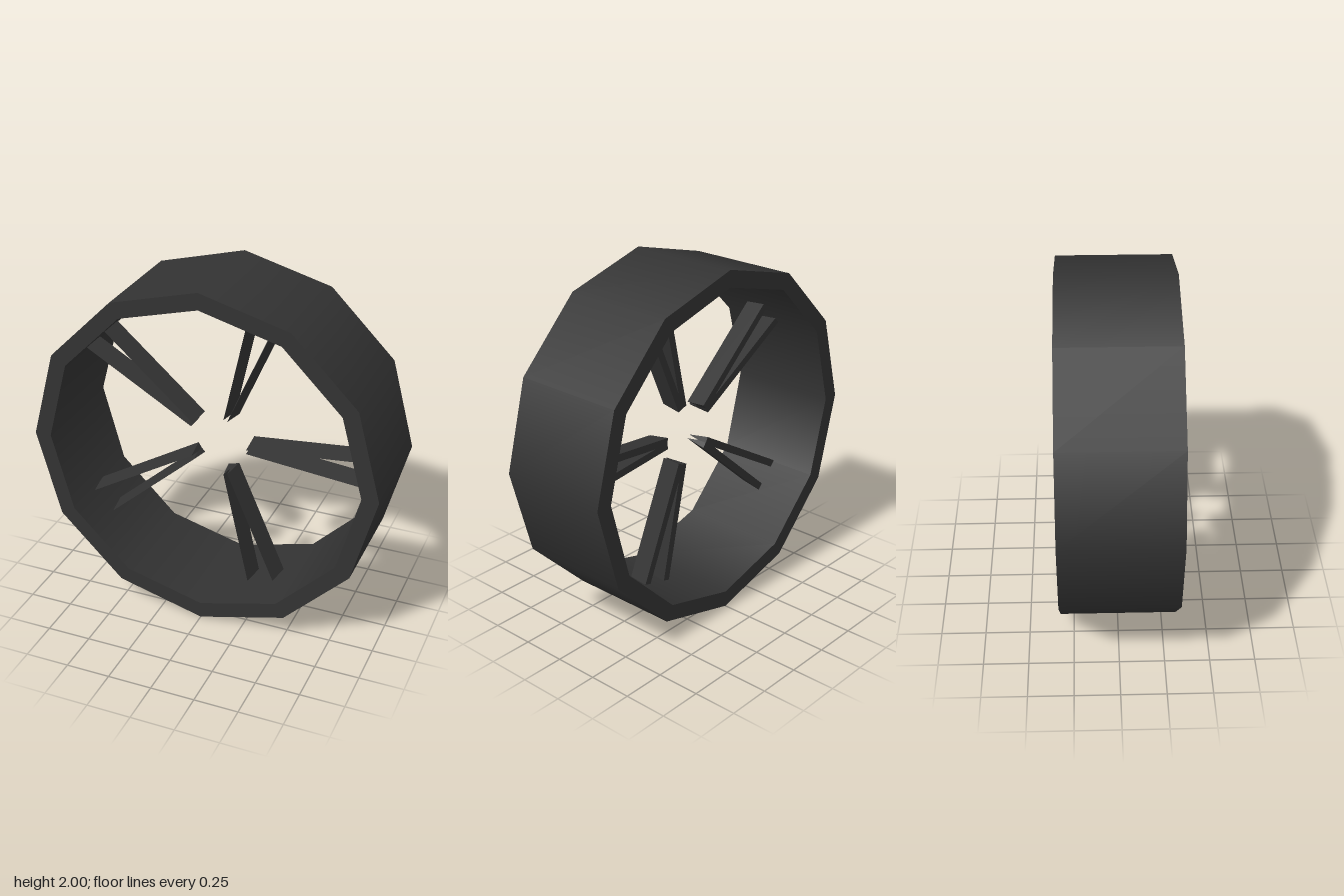
import * as THREE from 'three';
import { mergeGeometries } from 'three/addons/utils/BufferGeometryUtils.js';

const OUTER = 1, INNER = 0.905, HALF_DEPTH = 0.323, SIDES = 12;

// Twelve-sided ring: smooth walls, flat end faces, axis along z
function ringGeometry() {
  const corners = [
    [OUTER, -HALF_DEPTH], [OUTER, HALF_DEPTH], [INNER, HALF_DEPTH], [INNER, -HALF_DEPTH],
  ].map(([x, y]) => new THREE.Vector2(x, y));
  const bands = corners.map((p, i) => new THREE.LatheGeometry([p, corners[(i + 1) % 4]], SIDES));
  return mergeGeometries(bands).rotateX(Math.PI / 2);
}

// Three-sided blade with its sharp edge towards the front, running from a to b
function spokeGeometry(a, b) {
  const dir = b.clone().sub(a);
  const geometry = new THREE.CylinderGeometry(1, 1, dir.length(), 3).toNonIndexed();
  geometry.scale(0.025, 1, 0.087);
  geometry.computeVertexNormals();
  geometry.rotateZ(Math.atan2(dir.y, dir.x) - Math.PI / 2);
  return geometry.translate((a.x + b.x) / 2, (a.y + b.y) / 2, 0);
}

export function createModel() {
  const model = new THREE.Group();
  model.name = 'wheelRim';
  const darkGrey = new THREE.MeshStandardMaterial({ color: 0x333333 });
  darkGrey.name = 'darkGrey';

  const wheel = new THREE.Group();
  wheel.name = 'wheel';
  wheel.position.y = 1;
  model.add(wheel);

  const ring = new THREE.Mesh(ringGeometry(), darkGrey);
  ring.name = 'ring';
  wheel.add(ring);

  // Five V-shaped spoke pairs
  for (let i = 0; i < 5; i++) {
    const pair = new THREE.Group();
    pair.name = 'spokePair';
    pair.rotation.z = (i * Math.PI * 2) / 5;
    for (const side of [1, -1]) {
      const spoke = new THREE.Mesh(spokeGeometry(
        new THREE.Vector3(0.177, 0.012 * side, 0),
        new THREE.Vector3(0.915, 0.083 * side, 0)), darkGrey);
      spoke.name = 'spoke';
      pair.add(spoke);
    }
    wheel.add(pair);
  }
  return model;
}
